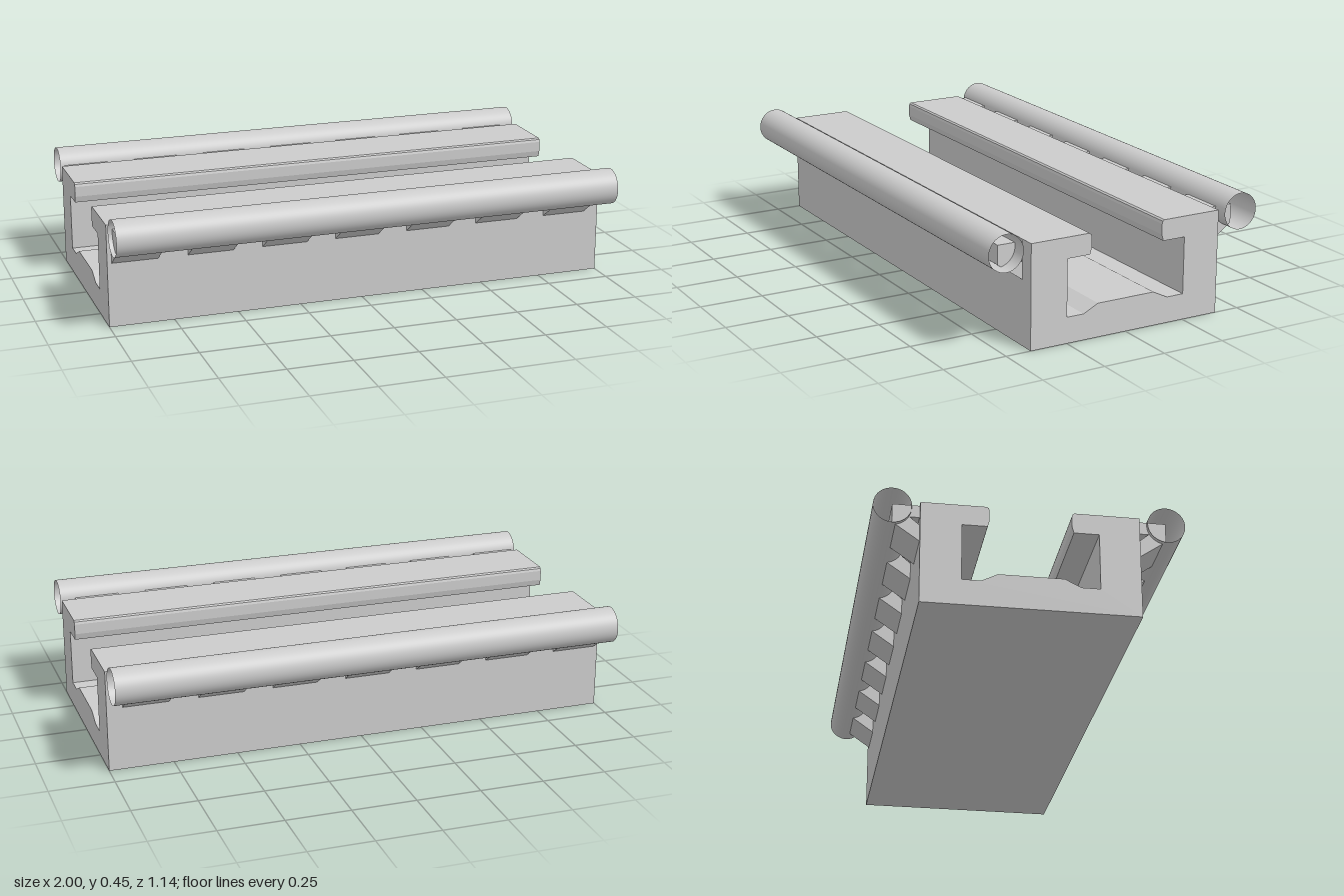
import * as THREE from 'three';

const LENGTH = 2;
const grey = new THREE.MeshStandardMaterial({ color: 0xcccccc, flatShading: true });
const shell = new THREE.MeshStandardMaterial({ color: 0xcccccc, side: THREE.DoubleSide });

const toPoints = (list) => list.map(([x, y]) => new THREE.Vector2(x, y));

// Extrudes a (z, y) cross-section along x, centred on x = 0
function extrudeAlongX(outline, length, hole) {
  const flip = (list) => toPoints(list.map(([z, y]) => [-z, y]));
  const shape = new THREE.Shape(flip(outline));
  if (hole) shape.holes.push(new THREE.Path(flip(hole)));
  const geometry = new THREE.ExtrudeGeometry(shape, { depth: length, bevelEnabled: false });
  geometry.translate(0, 0, -length / 2);
  geometry.rotateY(Math.PI / 2);
  return geometry;
}

export function createModel() {
  const model = new THREE.Group();
  model.name = 'slottedRail';

  // Channel body with inward lips and a raised floor
  const half = [
    [0.4, 0], [0.4, 0.4], [0.16, 0.4], [0.153, 0.395], [0.15, 0.385], [0.15, 0.345],
    [0.157, 0.32], [0.25, 0.32], [0.25, 0.1], [0.18, 0.1], [0.12, 0.13],
  ];
  const mirrored = half.map(([z, y]) => [-z, y]).reverse();
  const body = new THREE.Mesh(extrudeAlongX([...half, ...mirrored], LENGTH), grey);
  body.name = 'channelBody';
  model.add(body);

  for (const side of [1, -1]) {
    const label = side > 0 ? 'front' : 'back';
    const mirror = (list) => list.map(([z, y]) => [z * side, y]);

    // Open thin-walled tube
    const tubeGeometry = new THREE.CylinderGeometry(0.07, 0.07, LENGTH, 48, 1, true);
    tubeGeometry.rotateZ(Math.PI / 2);
    const tube = new THREE.Mesh(tubeGeometry, shell);
    tube.name = label + 'Tube';
    tube.position.set(0, 0.38, side * 0.5);
    model.add(tube);

    // Row of braced brackets carrying the tube
    const bracketGeometry = extrudeAlongX(
      mirror([[0.4, 0.25], [0.5, 0.32], [0.5, 0.393], [0.4, 0.393]]),
      0.177,
      mirror([[0.401, 0.315], [0.401, 0.345], [0.436, 0.345]]),
    );
    const brackets = new THREE.Group();
    brackets.name = label + 'Brackets';
    for (let i = 0; i < 7; i++) {
      const bracket = new THREE.Mesh(bracketGeometry, grey);
      bracket.name = 'bracket';
      bracket.position.x = -0.895 + i * 0.291;
      brackets.add(bracket);
    }
    model.add(brackets);
  }
  return model;
}
